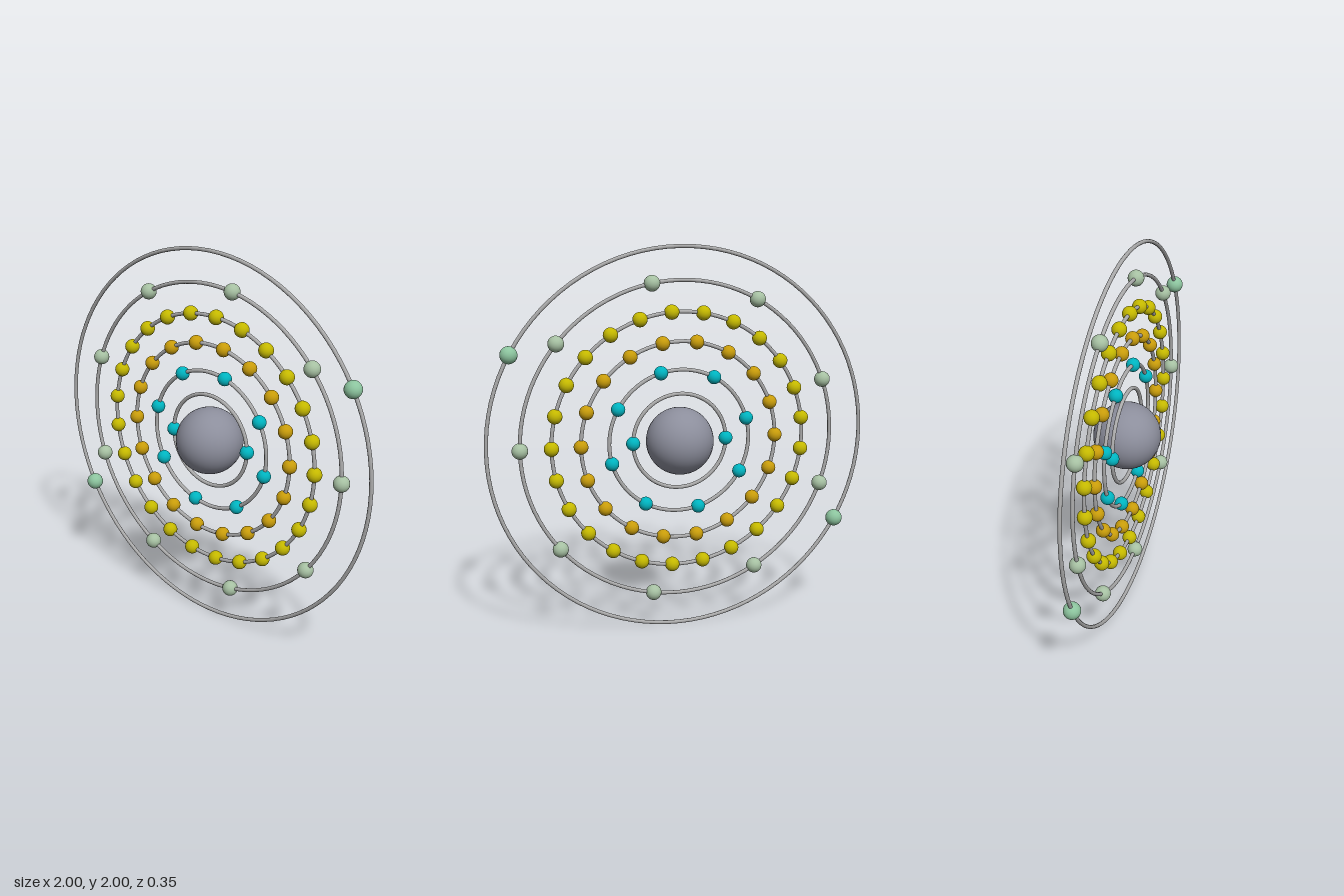
import * as THREE from 'three';

// One entry per shell: ring radius, bead count, start angle in degrees, bead radius, bead colour
const SHELLS = [
  { radius: 0.246, count: 2, start: 0, bead: 0.036, color: 0x00b4c0 },
  { radius: 0.37, count: 8, start: 29.5, bead: 0.036, color: 0x00b4c0 },
  { radius: 0.515, count: 18, start: 0, bead: 0.037, color: 0xc89c0a },
  { radius: 0.665, count: 25, start: 0, bead: 0.038, color: 0xc4b800 },
  { radius: 0.823, count: 9, start: 0, bead: 0.041, color: 0xa6c0a2 },
  { radius: 0.99, count: 2, start: 29.3, bead: 0.044, color: 0x8cc49e },
];
const TUBE = 0.01;

export function createModel() {
  const model = new THREE.Group();
  model.name = 'atomShellModel';

  // Everything is centred one unit above the ground
  const atom = new THREE.Group();
  atom.name = 'atom';
  atom.position.y = 1;
  model.add(atom);

  const nucleus = new THREE.Mesh(
    new THREE.SphereGeometry(0.174, 32, 24),
    new THREE.MeshStandardMaterial({ color: 0x8c8e9c })
  );
  nucleus.name = 'nucleus';
  atom.add(nucleus);

  const ringMaterial = new THREE.MeshStandardMaterial({ color: 0xaaaaaa });

  SHELLS.forEach(({ radius, count, start, bead, color }, i) => {
    const shell = new THREE.Group();
    shell.name = `shell${i + 1}`;
    atom.add(shell);

    // Orbit ring, facing the front
    const ring = new THREE.Mesh(new THREE.TorusGeometry(radius, TUBE, 12, 96), ringMaterial);
    ring.name = 'orbitRing';
    shell.add(ring);

    // Electrons spaced evenly along the ring
    const geometry = new THREE.SphereGeometry(bead, 24, 16);
    const material = new THREE.MeshStandardMaterial({ color });
    for (let k = 0; k < count; k++) {
      const angle = THREE.MathUtils.degToRad(start + (k * 360) / count);
      const electron = new THREE.Mesh(geometry, material);
      electron.name = 'electron';
      electron.position.set(radius * Math.cos(angle), radius * Math.sin(angle), 0);
      shell.add(electron);
    }
  });

  return model;
}
